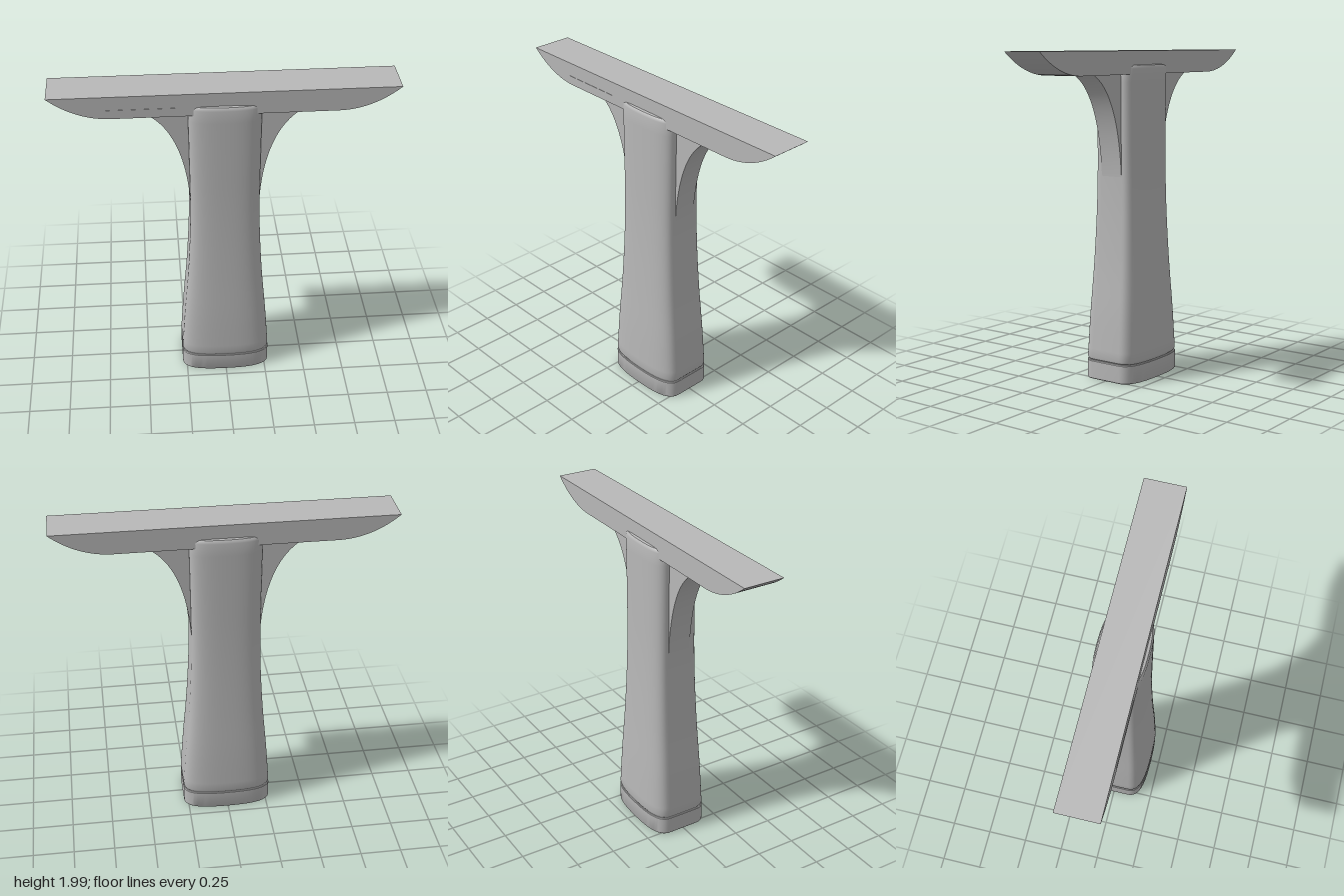
import * as THREE from 'three';
import { toCreasedNormals } from 'three/addons/utils/BufferGeometryUtils.js';

const grey = new THREE.MeshStandardMaterial({ color: 0xb8b8b8 });
grey.name = 'grey';

// Closed cross-section: flat sides, rounded corners, bowed front and back
function section(w, d) {
  const shape = new THREE.Shape();
  shape.moveTo(0, d);
  shape.bezierCurveTo(0.57 * w, d, w, 0.93 * d, w, 0.5 * d);
  shape.lineTo(w, -0.5 * d);
  shape.bezierCurveTo(w, -0.93 * d, 0.57 * w, -d, 0, -d);
  shape.bezierCurveTo(-0.57 * w, -d, -w, -0.93 * d, -w, -0.5 * d);
  shape.lineTo(-w, 0.5 * d);
  shape.bezierCurveTo(-w, 0.93 * d, -0.57 * w, d, 0, d);
  return shape.getPoints(14).slice(0, -1);
}

// Skin through rings given as [y, half width, half depth], closed at both ends
function loft(rings) {
  const first = rings[0], last = rings[rings.length - 1];
  const all = [[first[0], 0, 0], ...rings, [last[0], 0, 0]];
  const unit = section(1, 1), n = unit.length;
  const positions = [], index = [];
  for (const [y, w, d] of all) for (const p of unit) positions.push(p.x * w, y, p.y * d);
  for (let j = 0; j < all.length - 1; j++) {
    for (let k = 0; k < n; k++) {
      const a = j * n + k, b = j * n + (k + 1) % n;
      if (j < all.length - 2) index.push(a, b, b + n, a, b + n, a + n);
      else index.push(a, b, a + n);
      if (j === 0) { index.splice(-6, 6, a, b + n, a + n); }
    }
  }
  const geometry = new THREE.BufferGeometry();
  geometry.setAttribute('position', new THREE.Float32BufferAttribute(positions, 3));
  geometry.setIndex(index);
  return toCreasedNormals(geometry, 0.6);
}

function extrude(shape, depth) {
  const geometry = new THREE.ExtrudeGeometry(shape, { depth, bevelEnabled: false, curveSegments: 20 });
  geometry.translate(0, 0, -depth / 2);
  return toCreasedNormals(geometry, 0.5);
}

export function createModel() {
  const group = new THREE.Group();
  const add = (name, geometry) => {
    const mesh = new THREE.Mesh(geometry, grey);
    mesh.name = name;
    group.add(mesh);
    return mesh;
  };

  // End cap and the narrow groove above it
  add('endCap', loft([[0, 0.272, 0.195], [0.004, 0.276, 0.197], [0.111, 0.276, 0.197], [0.115, 0.272, 0.194]]));
  add('groove', loft([[0.11, 0.266, 0.188], [0.135, 0.266, 0.188]]));

  // Waisted handle with softened ends
  const body = new THREE.CatmullRomCurve3([
    [0.275, 0.135, 0.196], [0.256, 0.4, 0.186], [0.23, 0.7, 0.171], [0.213, 1.0, 0.159],
    [0.207, 1.25, 0.153], [0.208, 1.5, 0.151], [0.212, 1.885, 0.15],
  ].map(p => new THREE.Vector3(...p))).getPoints(30).map(p => [p.y, p.x, p.z]);
  add('handle', loft([
    [0.119, 0.266, 0.188], [0.124, 0.272, 0.193], ...body,
    [0.897 + 1, 0.209, 0.147], [1.905, 0.203, 0.141], [1.908, 0.192, 0.13],
  ]));

  // Long head with curved-up ends
  const head = new THREE.Shape();
  head.moveTo(-1, 1.99);
  head.bezierCurveTo(-0.9, 1.905, -0.78, 1.852, -0.64, 1.852);
  head.lineTo(0.64, 1.852);
  head.bezierCurveTo(0.78, 1.852, 0.9, 1.905, 1, 1.99);
  add('head', extrude(head, 0.25));

  // Curved brackets blending the handle into the head
  for (const side of [-1, 1]) {
    const bracket = new THREE.Shape();
    bracket.moveTo(side * 0.47, 1.853);
    bracket.bezierCurveTo(side * 0.29, 1.77, side * 0.215, 1.5, side * 0.205, 1.2);
    bracket.lineTo(side * 0.1, 1.2);
    bracket.lineTo(side * 0.1, 1.853);
    add(side > 0 ? 'leftBracket' : 'rightBracket', extrude(bracket, 0.145));
  }

  // Fine seam on the front of the head
  add('seam', new THREE.BoxGeometry(0.39, 0.004, 0.004)).position.set(-0.475, 1.905, 0.125);

  return group;
}
